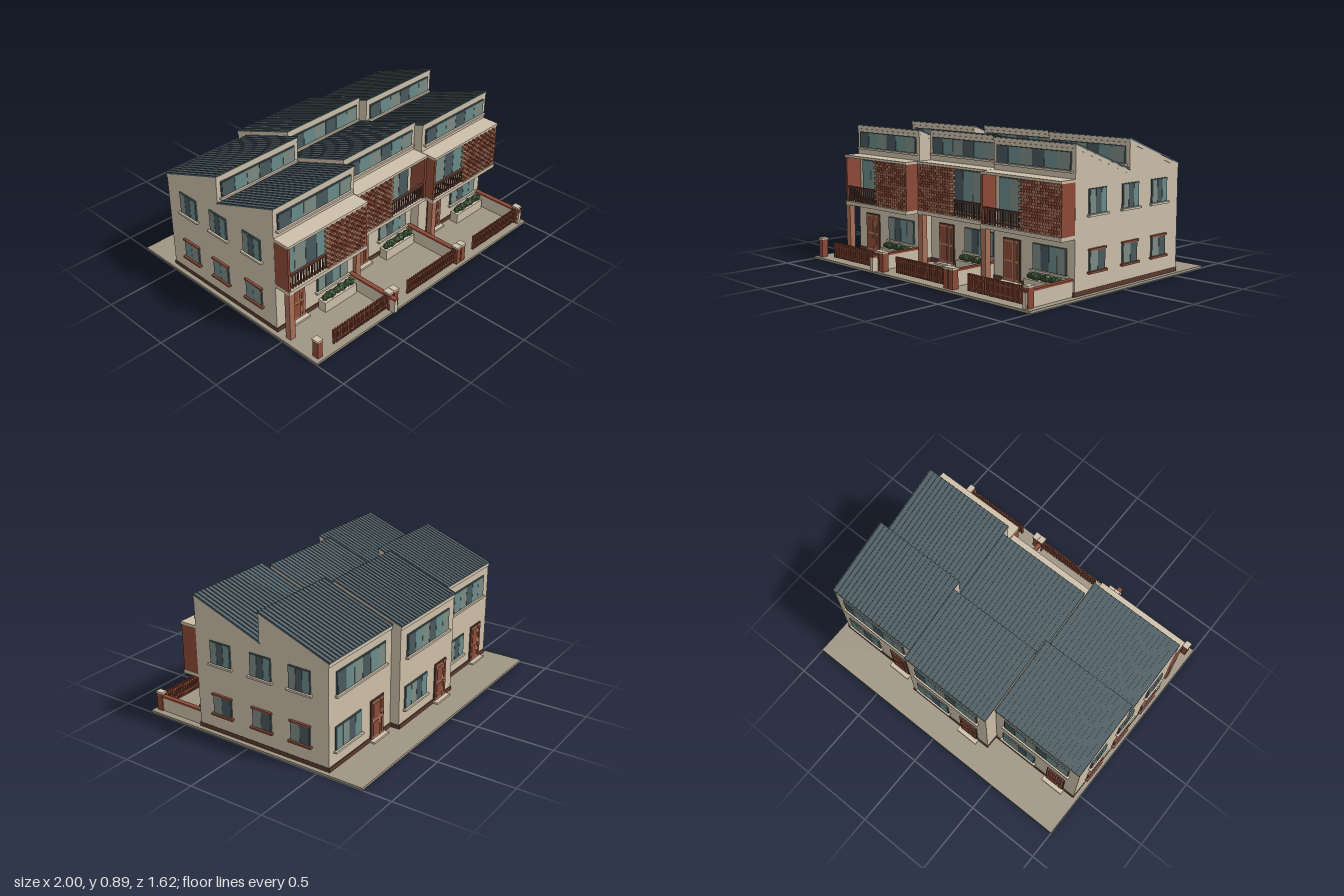
import * as THREE from 'three';
import { mergeGeometries } from 'three/addons/utils/BufferGeometryUtils.js';

const paint = (name, color) => {
  const m = new THREE.MeshStandardMaterial({ color });
  m.name = name;
  return m;
};
const wall = paint('cream render', 0xcdbfa9), ground = paint('paving', 0x9f9584);
const roofing = paint('slate blue roof', 0x55656b), brick = paint('red brick', 0x8c4a37);
const wood = paint('terracotta wood', 0xa87057), dark = paint('dark brown', 0x5b3a30);
const teal = paint('teal glass', 0x6b8c8a), grey = paint('grey glass', 0x7d8c85);
const deep = paint('dark glass and frames', 0x49595d), leaf = paint('green leaves', 0x46603f);
const GLASS = [deep, teal, grey];

const W = 0.644, D = 0.96, PITCH = 0.648, BASE = 0.015;

function add(parent, name, geo, mat, x = 0, y = 0, z = 0) {
  const m = new THREE.Mesh(geo, mat);
  m.name = name;
  m.position.set(x, y, z);
  parent.add(m);
  return m;
}
// Box given by its lower and upper corners
function boxGeo(x0, x1, y0, y1, z0, z1) {
  return new THREE.BoxGeometry(x1 - x0, y1 - y0, z1 - z0)
    .translate((x0 + x1) / 2, (y0 + y1) / 2, (z0 + z1) / 2);
}
const box = (p, name, mat, ...c) => add(p, name, boxGeo(...c), mat);

// Extrudes a [z, y] side profile across a width in x
function sideExtrude(points, width, x = 0) {
  const s = new THREE.Shape(points.map(p => new THREE.Vector2(p[0], p[1])));
  return new THREE.ExtrudeGeometry(s, { depth: width, bevelEnabled: false })
    .rotateY(-Math.PI / 2).translate(x + width / 2, 0, 0);
}

// Framed window facing +z, centred in x, with lintel and sill
function makeWindow(name, w, y0, y1, panes, first = 0, trim = wall, lintel = false) {
  const g = new THREE.Group();
  g.name = name;
  box(g, 'windowFrame', deep, -w / 2, w / 2, y0, y1, -0.005, 0.008);
  const step = (w - 0.008) / panes;
  for (let i = 0; i < panes; i++) {
    const x = -w / 2 + 0.004 + i * step;
    box(g, 'glassPane', GLASS[(i + first) % 3], x + 0.001, x + step - 0.001, y0 + 0.005, y1 - 0.005, 0.006, 0.011);
  }
  box(g, 'windowSill', trim, -w / 2 - 0.012, w / 2 + 0.012, y0 - 0.013, y0, -0.005, 0.021);
  if (lintel) box(g, 'windowLintel', trim, -w / 2 - 0.006, w / 2 + 0.006, y1 - 0.004, y1 + 0.008, -0.005, 0.015);
  return g;
}

// Door with one wide and one narrow panelled leaf, facing +z
function makeDoor(name) {
  const g = new THREE.Group();
  g.name = name;
  box(g, 'doorFrame', dark, -0.07, 0.07, BASE, 0.285, -0.005, 0.008);
  for (const [a, b] of [[-0.063, 0.02], [0.024, 0.063]]) {
    box(g, 'doorLeaf', wood, a, b, 0.028, 0.277, 0, 0.012);
    for (const [c, d] of [[0.045, 0.14], [0.158, 0.26]])
      box(g, 'doorPanel', brick, a + 0.011, b - 0.011, c, d, 0.01, 0.015);
  }
  box(g, 'doorStep', wall, -0.08, 0.08, BASE, 0.027, 0, 0.04);
  return g;
}

function place(parent, g, x, z, turn = 0) {
  g.position.set(x, 0, z);
  g.rotation.y = turn;
  parent.add(g);
}

// Mono-pitch roof starting at its ridge z
function makeRoof(parent, z) {
  const band = (top, bottom, run, over) => [
    [z + over, 0.885 + top], [z + over, 0.885 + bottom],
    [z - run, 0.885 - 0.186 + bottom], [z - run, 0.885 - 0.186 + top]];
  add(parent, 'roofBoards', sideExtrude(band(-0.008, -0.03, 0.485, 0.003), W + 0.002), wall);
  add(parent, 'roofSheet', sideExtrude(band(-0.002, -0.008, 0.488, 0.006), W + 0.003), roofing);
  const ribs = [];
  for (let i = 0; i <= 20; i++)
    ribs.push(sideExtrude(band(0.003, -0.003, 0.488, 0.006), 0.006, (i / 20 - 0.5) * (W - 0.006)));
  add(parent, 'roofRibs', mergeGeometries(ribs), roofing);
}

// Perforated brick screen with staggered rows, in two tones
function makeScreen(parent, side) {
  const tones = [[], []], rows = 17, pitch = 0.042, h = 0.295 / rows;
  let seed = 7;
  const rnd = () => (seed = (seed * 16807) % 2147483647) / 2147483647;
  for (let r = 0; r < rows; r++) {
    for (let i = 0; i < 8; i++) {
      const x = -0.01 + (i + (r % 2) / 2) * pitch;
      const y = 0.37 + r * h;
      const b = Math.min(x + 0.029, 0.32);
      const [x0, x1] = side > 0 ? [x, b] : [-b, -x];
      tones[rnd() < 0.5 ? 0 : 1].push(boxGeo(x0, x1, y, y + h - 0.001, 0.085, 0.113));
    }
  }
  add(parent, 'brickScreenRed', mergeGeometries(tones[0]), brick);
  add(parent, 'brickScreenLight', mergeGeometries(tones[1]), wood);
}

// Balcony with canopy, end walls, screen and railing
function makeBalcony(parent, side) {
  const g = new THREE.Group();
  g.name = 'balcony';
  parent.add(g);
  box(g, 'balconyFloor', wall, -W / 2, W / 2, 0.344, 0.368, 0, 0.117);
  box(g, 'balconyCanopy', wall, -W / 2, W / 2, 0.667, 0.683, 0, 0.117);
  for (const s of [-1, 1])
    add(g, 'balconyEndWall', boxGeo(-0.008, 0.008, 0.368, 0.667, 0, 0.112), brick, s * (W / 2 - 0.009));
  makeScreen(g, side);
  const [a, b] = side > 0 ? [-0.306, -0.01] : [0.01, 0.306];
  const bars = [boxGeo(a, b, 0.46, 0.472, 0.09, 0.108), boxGeo(a, b, 0.38, 0.388, 0.094, 0.104)];
  for (let i = 0; i <= 13; i++) {
    const x = a + 0.006 + (b - a - 0.012) * i / 13;
    bars.push(boxGeo(x - 0.004, x + 0.004, 0.368, 0.462, 0.095, 0.103));
  }
  add(g, 'balconyRailing', mergeGeometries(bars), dark);
  box(g, 'balconyColumn', wood, -0.321, -0.28, BASE, 0.344, 0.073, 0.113);
}

// Front garden: gate posts, fence, dividing wall and planter
function makeGarden(parent, frontZ) {
  const g = new THREE.Group();
  g.name = 'frontGarden';
  parent.add(g);
  const f = 0.745 - frontZ;
  for (const x of [-0.304, 0.3]) {
    box(g, 'gatePost', brick, x - 0.018, x + 0.018, BASE, 0.132, f - 0.022, f + 0.022);
    box(g, 'gatePostCap', wall, x - 0.021, x + 0.021, 0.132, 0.143, f - 0.026, f + 0.026);
  }
  const parts = [0.045, 0.1].map(y => boxGeo(-0.178, 0.283, y, y + 0.01, f - 0.004, f + 0.004));
  for (let i = 0; i < 24; i++) {
    const x = -0.172 + i * 0.0195;
    parts.push(boxGeo(x - 0.005, x + 0.005, 0.028, 0.13, f - 0.007, f + 0.007));
  }
  add(g, 'picketFence', mergeGeometries(parts), brick);
  box(g, 'gardenWall', wall, 0.285, 0.311, BASE, 0.105, 0, 0.382);
  box(g, 'gardenWallCap', brick, 0.282, 0.314, 0.105, 0.117, 0, 0.384);
  box(g, 'planter', wall, 0.0, 0.27, BASE, 0.085, 0.02, 0.08);
  const plants = [];
  for (let i = 0; i < 9; i++)
    plants.push(new THREE.IcosahedronGeometry(0.021 + 0.004 * (i % 3), 0)
      .rotateY(i * 1.3).translate(0.024 + i * 0.0277, 0.1 + 0.005 * (i % 2), 0.05));
  add(g, 'planterPlants', mergeGeometries(plants), leaf);
}

function makeHouse(index, frontZ) {
  const g = new THREE.Group();
  g.name = ['rightHouse', 'middleHouse', 'leftHouse'][index];
  g.position.set((index - 1) * PITCH, 0, frontZ);
  const body = [[0, BASE], [0, 0.86], [-0.48, 0.676], [-0.48, 0.86], [-D, 0.676], [-D, BASE]];
  add(g, 'houseWalls', sideExtrude(body, W), wall);
  box(g, 'plinth', dark, -W / 2 - 0.002, W / 2 + 0.002, BASE, 0.042, -D - 0.006, 0.006);
  for (const z of [0, -0.48]) {
    makeRoof(g, z);
    place(g, makeWindow('clerestoryWindow', 0.584, 0.73, 0.835, 6), 0, z);
  }
  // Front and back openings
  place(g, makeWindow('balconyWindow', 0.54, 0.385, 0.645, 6, 1), 0, 0);
  place(g, makeWindow('frontWindow', 0.26, 0.13, 0.285, 4, 2), 0.134, 0);
  place(g, makeDoor('frontDoor'), -0.167, 0);
  place(g, makeWindow('backUpperWindow', 0.5, 0.475, 0.62, 6), 0, -D, Math.PI);
  place(g, makeWindow('backLowerWindow', 0.26, 0.13, 0.28, 4, 1), 0.134, -D, Math.PI);
  place(g, makeDoor('backDoor'), -0.167, -D, Math.PI);
  // Side windows on the two end houses
  if (index !== 1) {
    const s = index - 1;
    for (const z of [-0.188, -0.486, -0.764]) {
      place(g, makeWindow('sideUpperWindow', 0.152, 0.474, 0.62, 3, 2), s * W / 2, z, s * Math.PI / 2);
      place(g, makeWindow('sideLowerWindow', 0.138, 0.145, 0.268, 2, s > 0 ? 2 : 1, brick, true), s * W / 2, z, s * Math.PI / 2);
    }
  }
  makeBalcony(g, index === 1 ? -1 : 1);
  makeGarden(g, frontZ);
  return g;
}

export function createModel() {
  const model = new THREE.Group();
  model.name = 'terracedHouses';
  box(model, 'groundSlab', ground, -1, 1, 0, BASE, -0.81, 0.79);
  [0.426, 0.335, 0.396].forEach((z, i) => model.add(makeHouse(i, z)));
  return model;
}
